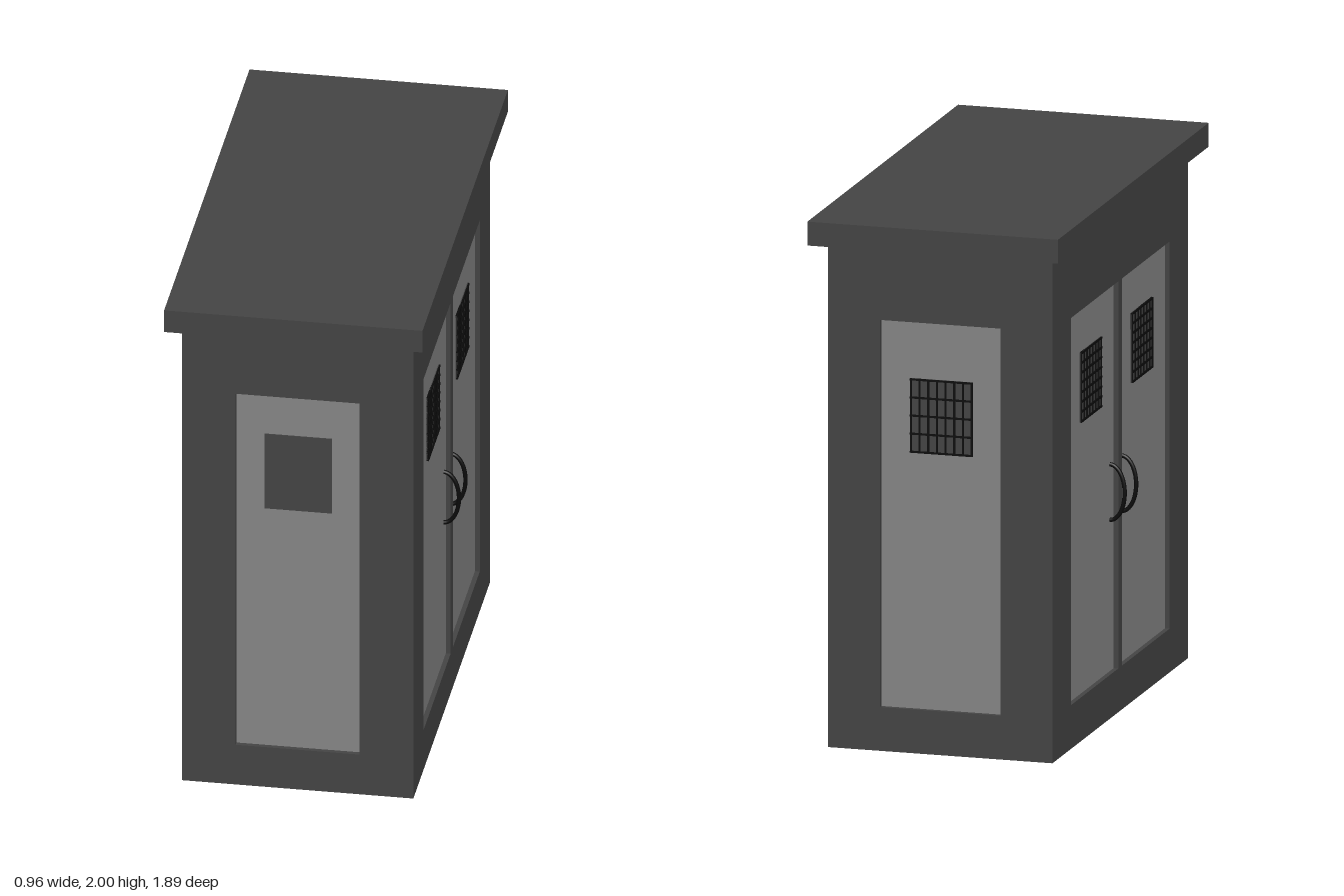
import * as THREE from 'three';

const dark = new THREE.MeshStandardMaterial({ color: 0x444444 });
const pale = new THREE.MeshStandardMaterial({ color: 0x858585 });
const black = new THREE.MeshStandardMaterial({ color: 0x0a0a0a });

const W = 0.43, D = 0.85, H = 1.91;      // half width, half depth, wall height
const T = 0.04, RECESS = 0.018;          // wall frame thickness, panel setback
const Y0 = 0.165, Y1 = 1.625;            // panel bottom and top

function box(name, mat, w, h, d, x, y, z) {
  const m = new THREE.Mesh(new THREE.BoxGeometry(w, h, d), mat);
  m.position.set(x, y, z);
  m.name = name;
  return m;
}

function rect(path, x0, x1, y0, y1) {
  path.moveTo(x0, y0);
  path.lineTo(x1, y0);
  path.lineTo(x1, y1);
  path.lineTo(x0, y1);
  path.closePath();
  return path;
}

// Small window on a panel, with cols x rows cells of bars (0 for a plain pane)
function makeWindow(x, y0, y1, w, cols, rows) {
  const g = new THREE.Group();
  g.name = 'window';
  const h = y1 - y0, z = -RECESS, b = 0.007;
  g.add(box('windowPane', dark, w, h, 0.006, x, (y0 + y1) / 2, z));
  if (!cols) return g;
  for (let i = 0; i <= cols; i++) {
    const bx = x - w / 2 + b / 2 + (w - b) * i / cols;
    g.add(box('verticalBar', black, b, h, 0.008, bx, (y0 + y1) / 2, z + 0.003));
  }
  for (let i = 0; i <= rows; i++) {
    const by = y0 + b / 2 + (h - b) * i / rows;
    g.add(box('crossBar', black, w, b, 0.009, x, by, z + 0.004));
  }
  return g;
}

// Curved pull handle standing out from a door
function makeHandle(x) {
  const pts = [];
  for (let i = 0; i <= 16; i++) {
    const a = -Math.PI / 2 + Math.PI * i / 16;
    pts.push(new THREE.Vector3(x, 0.84 + 0.105 * Math.sin(a), -RECESS + 0.057 * Math.cos(a)));
  }
  const m = new THREE.Mesh(
    new THREE.TubeGeometry(new THREE.CatmullRomCurve3(pts), 32, 0.008, 10), black);
  m.name = 'handle';
  return m;
}

// Wall facing +z with its outer face at z = 0; panels are [x0, x1] openings
function makeWall(name, halfWidth, panels) {
  const g = new THREE.Group();
  g.name = name;
  const shape = rect(new THREE.Shape(), -halfWidth, halfWidth, 0, H);
  for (const [x0, x1] of panels) {
    shape.holes.push(rect(new THREE.Path(), x0, x1, Y0, Y1));
    const d = T - RECESS;
    g.add(box('doorPanel', pale, x1 - x0, Y1 - Y0, d, (x0 + x1) / 2, (Y0 + Y1) / 2, -RECESS - d / 2));
  }
  const frame = new THREE.Mesh(
    new THREE.ExtrudeGeometry(shape, { depth: T, bevelEnabled: false }), dark);
  frame.position.z = -T;
  frame.name = 'wallFrame';
  g.add(frame);
  return g;
}

export function createModel() {
  const model = new THREE.Group();
  model.name = 'cabin';

  // Core and flat overhanging roof
  model.add(box('core', dark, 2 * (W - T), H, 2 * (D - T), 0, H / 2, 0));
  model.add(box('roof', dark, 0.96, 2 - H, 1.89, 0, (H + 2) / 2, 0));

  // End walls: plain pane in front, barred one behind
  const front = makeWall('frontWall', W, [[-0.23, 0.23]]);
  front.position.z = D;
  front.add(makeWindow(0, 1.15, 1.46, 0.25, 0, 0));
  const back = makeWall('backWall', W, [[-0.23, 0.23]]);
  back.position.z = -D;
  back.rotation.y = Math.PI;
  back.add(makeWindow(0, 1.13, 1.41, 0.24, 7, 4));
  model.add(front, back);

  // Side walls with double doors
  for (const s of [1, -1]) {
    const side = makeWall(s > 0 ? 'leftWall' : 'rightWall', D - T,
      [[-0.62, -0.025], [0.025, 0.62]]);
    side.position.x = s * W;
    side.rotation.y = s * Math.PI / 2;
    for (const k of [1, -1]) {
      side.add(makeWindow(k * 0.32, 1.19, 1.455, 0.26, 7, 7));
      side.add(makeHandle(k * 0.072));
    }
    model.add(side);
  }
  return model;
}
